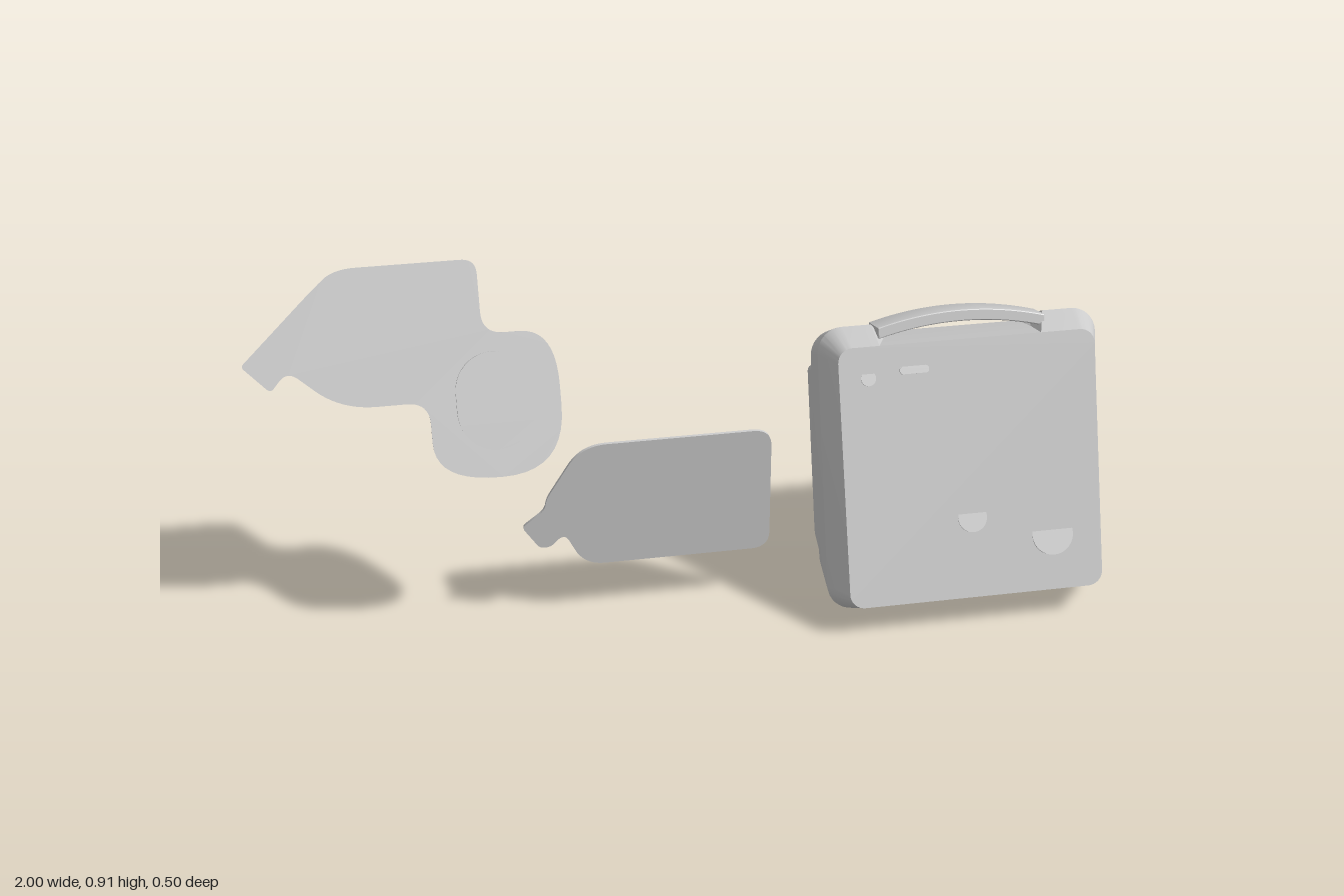
import * as THREE from 'three';
import { toCreasedNormals } from 'three/addons/utils/BufferGeometryUtils.js';

const material = new THREE.MeshStandardMaterial({ color: 0xcccccc, side: THREE.DoubleSide });

function add(parent, name, geometry, x = 0, y = 0, z = 0, rx = 0) {
  const mesh = new THREE.Mesh(geometry, material);
  mesh.name = name;
  mesh.position.set(x, y, z);
  mesh.rotation.x = rx;
  parent.add(mesh);
  return mesh;
}

// Closed shape through corners [x, y, radius], each corner rounded
function roundedShape(corners) {
  const shape = new THREE.Shape();
  const n = corners.length;
  corners.forEach(([x, y, r], i) => {
    const c = new THREE.Vector2(x, y);
    const toward = ([px, py]) => {
      const d = new THREE.Vector2(px, py).sub(c);
      return d.setLength(Math.min(r, d.length() * 0.49)).add(c);
    };
    const a = toward(corners[(i + n - 1) % n]);
    const b = toward(corners[(i + 1) % n]);
    if (i) shape.lineTo(a.x, a.y);
    else shape.moveTo(a.x, a.y);
    shape.quadraticCurveTo(x, y, b.x, b.y);
  });
  shape.closePath();
  return shape;
}

function extrude(shape, depth) {
  return new THREE.ExtrudeGeometry(shape, { depth, bevelEnabled: false, curveSegments: 10 });
}

// Rounded rectangle section with a handle notch in its top edge
function caseSection({ hw, bottom, top, r, notch, z }) {
  const pts = [];
  const corner = (cx, cy, start) => {
    for (let i = 0; i <= 8; i++) {
      const a = start + (i / 8) * Math.PI / 2;
      pts.push([cx + r * Math.cos(a), cy + r * Math.sin(a)]);
    }
  };
  corner(-hw + r, bottom + r, Math.PI);
  corner(hw - r, bottom + r, -Math.PI / 2);
  corner(hw - r, top - r, 0);
  pts.push([0.21, top], [0.18, top - notch], [-0.18, top - notch], [-0.21, top]);
  corner(-hw + r, top - r, Math.PI / 2);
  return pts.map(([x, y]) => new THREE.Vector3(x, y, z(y)));
}

// Skin over sections running from back to front, capped at both ends
function loft(sections) {
  const n = sections[0].length;
  const index = [];
  for (let k = 0; k < sections.length - 1; k++) {
    for (let i = 0; i < n; i++) {
      const a = k * n + i, b = k * n + (i + 1) % n;
      index.push(a, b, b + n, a, b + n, a + n);
    }
  }
  const last = (sections.length - 1) * n;
  const flat = (s) => s.map((p) => new THREE.Vector2(p.x, p.y));
  for (const [a, b, c] of THREE.ShapeUtils.triangulateShape(flat(sections[0]), [])) index.push(a, c, b);
  for (const [a, b, c] of THREE.ShapeUtils.triangulateShape(flat(sections.at(-1)), [])) {
    index.push(last + a, last + b, last + c);
  }
  const geometry = new THREE.BufferGeometry().setFromPoints(sections.flat());
  geometry.setIndex(index);
  return toCreasedNormals(geometry, 0.25);
}

function createCase() {
  const group = new THREE.Group();
  group.name = 'case';
  const tilted = new THREE.Group();
  tilted.name = 'tiltedBody';
  tilted.rotation.x = -0.332;
  group.add(tilted);

  // Main shell, widest at the middle section
  add(tilted, 'shell', loft([
    { hw: 0.335, bottom: 0.013, top: 0.634, r: 0.06, notch: 0.015, z: () => 0.048 },
    { hw: 0.34, bottom: -0.032, top: 0.657, r: 0.06, notch: 0.035, z: () => 0.15 },
    { hw: 0.31, bottom: 0, top: 0.619, r: 0.035, notch: 0, z: (y) => 0.264 - 0.0565 * y },
  ].map(caseSection)));

  // U-shaped rear frame that narrows toward the back
  const frame = extrude(roundedShape([
    [-0.33, 0.013, 0.06], [0.33, 0.013, 0.06], [0.33, 0.561, 0.02], [0.215, 0.561, 0.01],
    [0.205, 0.13, 0.06], [0, 0.11, 0.15], [-0.205, 0.13, 0.06], [-0.215, 0.561, 0.01], [-0.33, 0.561, 0.02],
  ]), 0.1);
  frame.translate(0, 0, -0.05);
  const p = frame.attributes.position;
  for (let i = 0; i < p.count; i++) {
    const t = (0.05 - p.getZ(i)) / 0.1;
    const h = (p.getY(i) - 0.013) / 0.548;
    p.setX(i, p.getX(i) * (1 - 0.02 * t));
    p.setY(i, p.getY(i) + t * (0.052 * (1 - h) - 0.026 * h));
  }
  add(tilted, 'rearFrame', toCreasedNormals(frame, 0.5));

  // Round hinge lugs on the frame sides
  for (const side of [-1, 1]) {
    const lug = new THREE.CylinderGeometry(0.055, 0.055, 0.065, 32).rotateZ(Math.PI / 2);
    add(tilted, 'hingeLug', lug, side * 0.25, 0.461, -0.047);
  }

  // Arched carrying handle
  const arch = new THREE.Shape();
  arch.moveTo(-0.2, 0.63);
  arch.lineTo(-0.2, 0.652);
  arch.quadraticCurveTo(0, 0.706, 0.2, 0.652);
  arch.lineTo(0.2, 0.63);
  arch.quadraticCurveTo(0, 0.684, -0.2, 0.63);
  const handle = new THREE.ExtrudeGeometry(arch, {
    depth: 0.08, bevelThickness: 0.005, bevelSize: 0.003, bevelSegments: 2, curveSegments: 24,
  });
  add(tilted, 'handle', toCreasedNormals(handle, 0.5), 0, 0, 0.105);

  // Front buttons, tipped so that their lower edges stand out
  const onFace = (y) => 0.25 - 0.409 * (y - 0.085);
  for (const [x, y, r] of [[-0.24, 0.588, 0.018], [-0.005, 0.262, 0.035], [0.19, 0.208, 0.05]]) {
    const disc = new THREE.CylinderGeometry(r, r, 0.016, 32).rotateX(Math.PI / 2);
    add(group, 'frontButton', disc, x, y, onFace(y) - 0.007, -0.387 - 0.15);
  }
  const slot = extrude(roundedShape([
    [-0.035, -0.009, 0.009], [0.035, -0.009, 0.009], [0.035, 0.009, 0.009], [-0.035, 0.009, 0.009],
  ]), 0.012);
  add(group, 'frontSlot', slot, -0.13, 0.598, onFace(0.598) - 0.009, -0.537);

  // Standing ribs at both ends and the stand flap behind them
  const rib = extrude(roundedShape([
    [-0.16, 0.03, 0.001], [-0.11, 0, 0.05], [0.06, 0, 0.03], [0.075, 0.06, 0.01], [-0.05, 0.07, 0.01],
  ]), 0.04).rotateY(Math.PI / 2);
  for (const x of [-0.28, 0.24]) add(group, 'standRib', rib, x);
  add(group, 'standFlap', new THREE.BoxGeometry(0.56, 0.013, 0.075), 0, 0.028, -0.089, -0.68);
  return group;
}

// Silhouette plate leaning back, with a raised oval pad
function createLeaningPlate() {
  const group = new THREE.Group();
  group.name = 'leaningPlate';
  const stretch = (pts) => pts.map(([x, y, r]) => [x, (y - 0.475) * 1.125, r]);
  const sheet = roundedShape(stretch([
    [-1, 0.735, 0.01], [-0.83, 0.875, 0.05], [-0.78, 0.912, 0.05], [-0.465, 0.912, 0.035],
    [-0.465, 0.762, 0.05], [-0.3, 0.762, 0.13], [-0.3, 0.474, 0.15], [-0.595, 0.474, 0.15],
    [-0.595, 0.635, 0.05], [-0.79, 0.635, 0.08], [-0.9, 0.72, 0.03], [-0.94, 0.68, 0.012],
  ]));
  add(group, 'sheet', toCreasedNormals(extrude(sheet, 0.01), 0.5), 0, 0, -0.005);
  const pad = new THREE.Shape();
  pad.absarc(-0.447, 0.17, 0.088, Math.PI, 2 * Math.PI);
  pad.absarc(-0.447, 0.215, 0.088, 0, Math.PI);
  pad.closePath();
  add(group, 'pad', toCreasedNormals(extrude(pad, 0.016), 0.5), 0, -0.02, 0.004);
  group.rotation.x = -0.477;
  group.position.set(0, 0.475, 0.137);
  return group;
}

export function createModel() {
  const model = new THREE.Group();
  const body = createCase();
  body.position.x = 0.66;
  model.add(body, createLeaningPlate());

  // Upright plate between the case and the leaning plate
  const upright = roundedShape([
    [-0.4, 0.262, 0.012], [-0.345, 0.305, 0.02], [-0.34, 0.335, 0.02], [-0.255, 0.472, 0.06],
    [0.195, 0.472, 0.045], [0.195, 0.14, 0.045], [-0.255, 0.14, 0.05], [-0.3, 0.235, 0.025],
    [-0.335, 0.2, 0.012], [-0.36, 0.2, 0.012],
  ]);
  add(model, 'uprightPlate', toCreasedNormals(extrude(upright, 0.008), 0.5), 0, 0, 0.028);
  return model;
}
